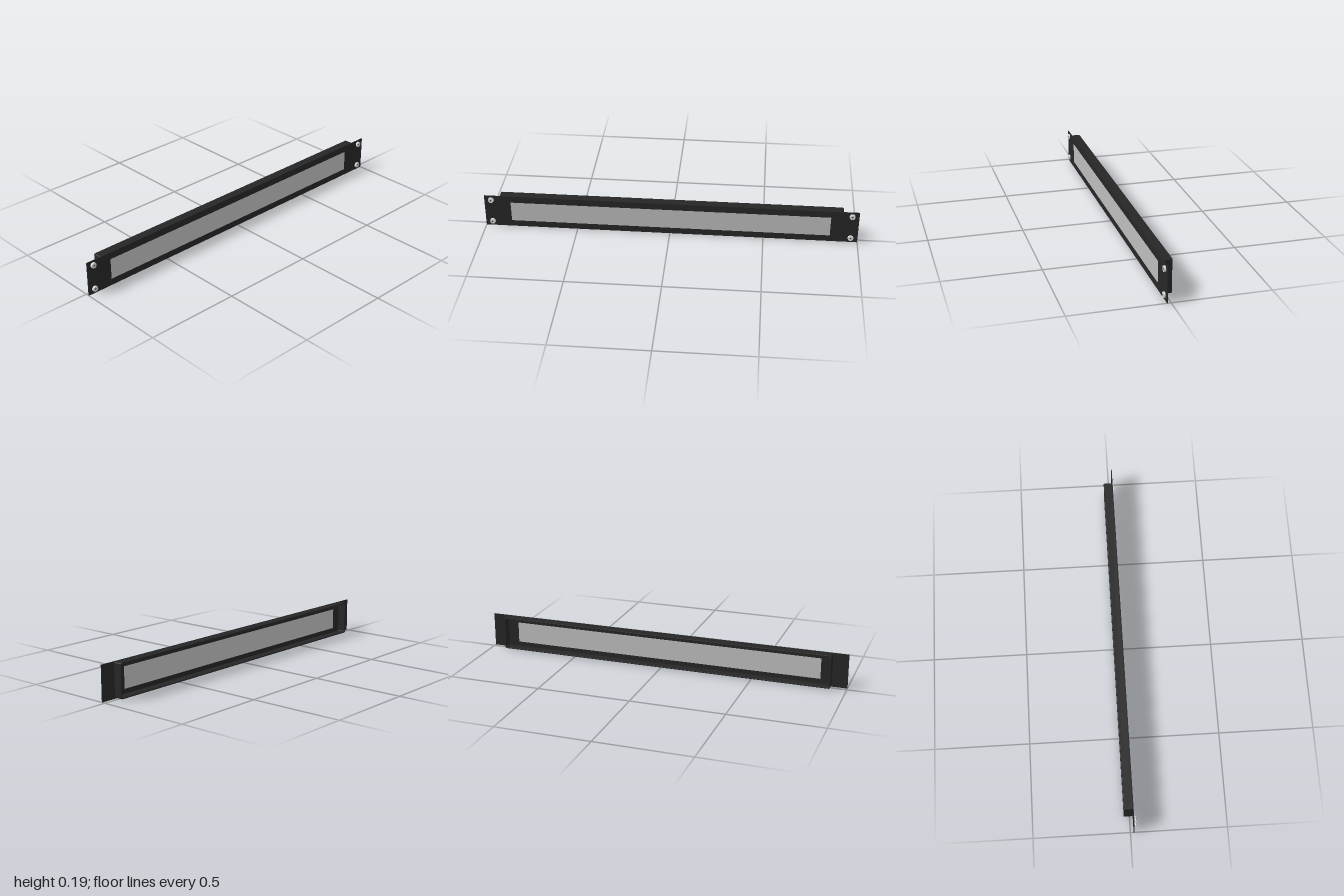
import * as THREE from 'three';
import { mergeGeometries } from 'three/addons/utils/BufferGeometryUtils.js';

const steel = new THREE.MeshStandardMaterial({ name: 'black steel', color: 0x262626 });
const grey = new THREE.MeshStandardMaterial({ name: 'light grey', color: 0xbcbcbc });
const zinc = new THREE.MeshStandardMaterial({ name: 'bright zinc', color: 0xdcdcdc });

const H = 0.185, FRONT = 0.02, SHEET = 0.0035;
const WIN = { x0: -0.858, x1: 0.853, y0: 0.035, y1: 0.148 };

// Rounded rectangle outline, usable as a shape or a hole
function roundRect(path, x0, y0, x1, y1, r) {
  path.moveTo(x0 + r, y0);
  path.lineTo(x1 - r, y0);
  path.absarc(x1 - r, y0 + r, r, -Math.PI / 2, 0);
  path.lineTo(x1, y1 - r);
  path.absarc(x1 - r, y1 - r, r, 0, Math.PI / 2);
  path.lineTo(x0 + r, y1);
  path.absarc(x0 + r, y1 - r, r, Math.PI / 2, Math.PI);
  path.lineTo(x0, y0 + r);
  path.absarc(x0 + r, y0 + r, r, Math.PI, Math.PI * 1.5);
  return path;
}

function add(group, name, geometry, material) {
  const mesh = new THREE.Mesh(geometry, material);
  mesh.name = name;
  group.add(mesh);
}

function box(w, h, d, x, y, z) {
  return new THREE.BoxGeometry(w, h, d).translate(x, y, z);
}

// Flat-topped screw with a small cross recess, facing +z
function screw(x, y) {
  const g = new THREE.Group();
  g.name = 'screw';
  const head = new THREE.CylinderGeometry(0.0145, 0.0155, 0.0095, 24);
  add(g, 'screwHead', head.rotateX(Math.PI / 2).translate(0, 0, 0.00475), zinc);
  const cross = mergeGeometries([
    box(0.012, 0.0025, 0.001, 0, 0, 0.0095),
    box(0.0025, 0.012, 0.001, 0, 0, 0.0095),
  ]);
  add(g, 'crossRecess', cross, steel);
  g.position.set(x, y, FRONT);
  return g;
}

export function createModel() {
  const model = new THREE.Group();
  model.name = 'ventPanel';

  // Face plate with the window opening
  const face = roundRect(new THREE.Shape(), -1, 0, 1, H, 0.001);
  face.holes.push(roundRect(new THREE.Path(), WIN.x0, WIN.y0, WIN.x1, WIN.y1, 0.0005));
  const plate = new THREE.ExtrudeGeometry(face, { depth: SHEET, bevelEnabled: false, curveSegments: 4 });
  add(model, 'facePlate', plate.translate(0, 0, FRONT - SHEET), steel);

  // Light grey vent sheet filling the window, visible from both sides
  const w = WIN.x1 - WIN.x0, h = WIN.y1 - WIN.y0;
  const sheet = box(w, h, SHEET - 0.0006, WIN.x0 + w / 2, WIN.y0 + h / 2, FRONT - SHEET / 2);
  add(model, 'ventSheet', sheet, grey);

  // Stiffening flange folded back around the plate, open at the rear
  const rim = roundRect(new THREE.Shape(), -0.918, 0.004, 0.918, 0.184, 0.009);
  rim.holes.push(roundRect(new THREE.Path(), -0.911, 0.011, 0.911, 0.177, 0.004));
  const flange = new THREE.ExtrudeGeometry(rim, {
    depth: 0.0425, curveSegments: 5, bevelThickness: 0.002, bevelSize: 0.002, bevelOffset: -0.002, bevelSegments: 2,
  });
  add(model, 'rearFlange', flange.translate(0, 0, -0.0275), steel);

  // Mounting screws at the four corners
  for (const x of [-0.963, 0.963]) {
    for (const y of [0.027, 0.16]) model.add(screw(x, y));
  }
  return model;
}
